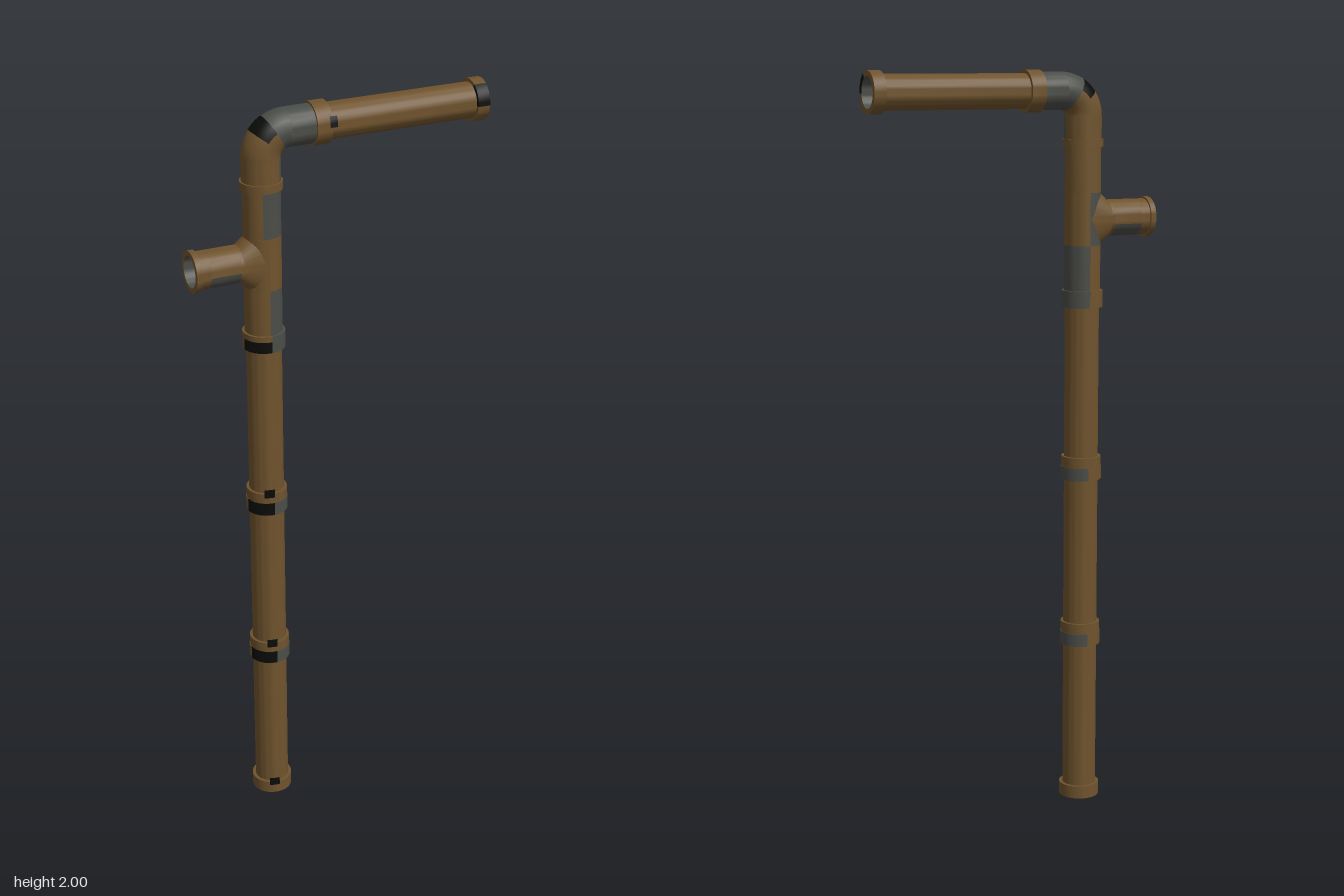
import * as THREE from 'three';
import { toCreasedNormals } from 'three/addons/utils/BufferGeometryUtils.js';

const PI = Math.PI;

export function createModel() {
  const model = new THREE.Group();
  const mat = (name, color) => Object.assign(new THREE.MeshStandardMaterial({ color }), { name });
  const brown = mat('rust brown', 0x6f532d);
  const grey = mat('worn grey', 0x4b4d48);
  const black = mat('black grime', 0x0b0b09);

  const axisX = -0.205, armY = 1.945, branchY = 1.61;
  const PIPE = 0.046, FIT = 0.0485, COLLAR = 0.055, BORE = 0.041;

  // Three pipe runs; each is built along its own local y axis
  const run = (name, x, y, turn) => {
    const g = new THREE.Group();
    g.name = name;
    g.position.set(x, y, 0);
    g.rotation.z = turn;
    model.add(g);
    return g;
  };
  const riser = run('riser', axisX, 0, 0);
  const arm = run('arm', 0, armY, -PI / 2);
  const branch = run('branch', 0, branchY, PI / 2);

  // Turned part split into angular sectors: [material, start, end] in units of PI
  const turned = (parent, name, profile, sectors = [[brown, 0, 2]]) => {
    const pts = profile.map(([r, y]) => new THREE.Vector2(r, y));
    for (const [m, a, b] of sectors) {
      const segs = Math.max(2, Math.round((b - a) * 18));
      const geo = new THREE.LatheGeometry(pts, segs, a * PI, (b - a) * PI);
      const mesh = new THREE.Mesh(toCreasedNormals(geo, 0.6), m);
      mesh.name = name;
      parent.add(mesh);
    }
  };
  const tube = (parent, name, y0, y1, r, sectors) =>
    turned(parent, name, [[r, y0], [r, y1]], sectors);
  const collar = (parent, name, y0, y1, r, sectors) =>
    turned(parent, name, [[BORE, y0], [r, y0], [r, y1], [BORE, y1]], sectors);
  const bore = (parent, y0, y1) =>
    turned(parent, 'bore', [[BORE, y1], [BORE, y0]], [[grey, 0, 2]]);

  // Riser pipe, its foot and its couplings
  tube(riser, 'riserPipe', 0.01, 1.4, PIPE);
  bore(riser, 0, 1.84);
  collar(riser, 'footCollar', 0, 0.035, COLLAR);
  const stained = [[black, -0.48, 0], [grey, 0, 0.98], [brown, 0.98, 1.52]];
  for (const y of [0.44, 0.905]) {
    collar(riser, 'couplingLower', y, y + 0.035, COLLAR, stained);
    collar(riser, 'couplingUpper', y + 0.035, y + 0.063, 0.0535);
  }
  collar(riser, 'teeSocketLower', 1.375, 1.405, COLLAR, stained);
  collar(riser, 'teeSocketUpper', 1.405, 1.42, COLLAR, [[grey, 0, 1], [brown, 1, 2]]);

  // Small grime spots beside the collars
  for (const y of [0.036, 0.502, 0.968])
    tube(riser, 'grimeSpot', y - 0.01, y + 0.014, COLLAR + 0.001, [[black, -0.16, 0]]);

  // Tee body
  tube(riser, 'teeLower', 1.42, 1.54, FIT, [[grey, 0, 1], [brown, 1, 2]]);
  tube(riser, 'teeMiddle', 1.54, 1.68, FIT, [[brown, 0, 1], [grey, 1, 1.45], [brown, 1.45, 2]]);
  tube(riser, 'teeUpper', 1.68, 1.81, FIT, [[grey, -0.1, 0.42], [brown, 0.42, 1.9]]);
  collar(riser, 'elbowLip', 1.8, 1.82, 0.0545);

  // Side branch with a flared throat blending into the tee
  const under = [[grey, -0.9, -0.05], [brown, -0.05, 1.1]];
  tube(branch, 'branchInner', 0.21, 0.28, FIT);
  tube(branch, 'branchMiddle', 0.28, 0.36, FIT, under);
  tube(branch, 'branchOuter', 0.36, 0.39, FIT);
  collar(branch, 'branchRim', 0.385, 0.4, 0.0535);
  bore(branch, 0.26, 0.4);
  const throat = new THREE.CylinderGeometry(FIT, 0.112, 0.067, 36, 1, true);
  const p = throat.attributes.position;
  for (let i = 0; i < p.count; i++)
    if (p.getY(i) < 0) p.setZ(i, p.getZ(i) * 0.047 / 0.112);
  throat.computeVertexNormals();
  const throatMesh = new THREE.Mesh(throat, brown);
  throatMesh.name = 'branchThroat';
  throatMesh.position.y = 0.2385;
  branch.add(throatMesh);

  // Elbow: a quarter ring swept by a circle, split along and around the bend
  const R = 0.065, er = 0.0495;
  const bend = (name, m, from, to, v0, v1) => {
    const pts = [];
    for (let i = 0; i <= 20; i++) {
      const v = (v0 + (v1 - v0) * i / 20) * PI;
      pts.push(new THREE.Vector2(R + er * Math.cos(v), er * Math.sin(v)));
    }
    const geo = new THREE.LatheGeometry(pts, 8, from * PI, (to - from) * PI);
    const mesh = new THREE.Mesh(geo.rotateX(PI / 2), m);
    mesh.name = name;
    mesh.position.set(axisX + R, armY - R, 0);
    model.add(mesh);
  };
  bend('elbowHorizontalHalf', grey, 1, 1.17, -1, 1);
  bend('elbowGrime', black, 1.17, 1.3, -0.42, 0.42);
  bend('elbowInside', brown, 1.17, 1.3, 0.42, 1.58);
  bend('elbowVerticalHalf', brown, 1.3, 1.5, -1, 1);
  tube(riser, 'elbowLowerLeg', 1.81, armY - R, er, [[grey, 0.25, 0.5], [brown, 0.5, 2.25]]);
  tube(arm, 'elbowUpperLeg', axisX + R, -0.07, er, [[grey, 0, 2]]);

  // Horizontal arm, its socket and its open end
  collar(arm, 'armSocket', -0.075, -0.034, COLLAR);
  tube(arm, 'armPipe', -0.04, 0.39, PIPE);
  tube(arm, 'grimeSpot', -0.042, -0.022, COLLAR + 0.001, [[black, -0.16, 0]]);
  collar(arm, 'armEndCollar', 0.367, 0.4, COLLAR, [[black, -0.33, 0.02], [brown, 0.02, 1.67]]);
  bore(arm, -0.14, 0.4);

  // Dark stop at the bend, seen through the open arm
  const stop = new THREE.Mesh(new THREE.CircleGeometry(BORE, 32), black);
  stop.name = 'darkInterior';
  stop.rotation.y = PI / 2;
  stop.position.set(-0.138, armY, 0);
  model.add(stop);

  return model;
}
